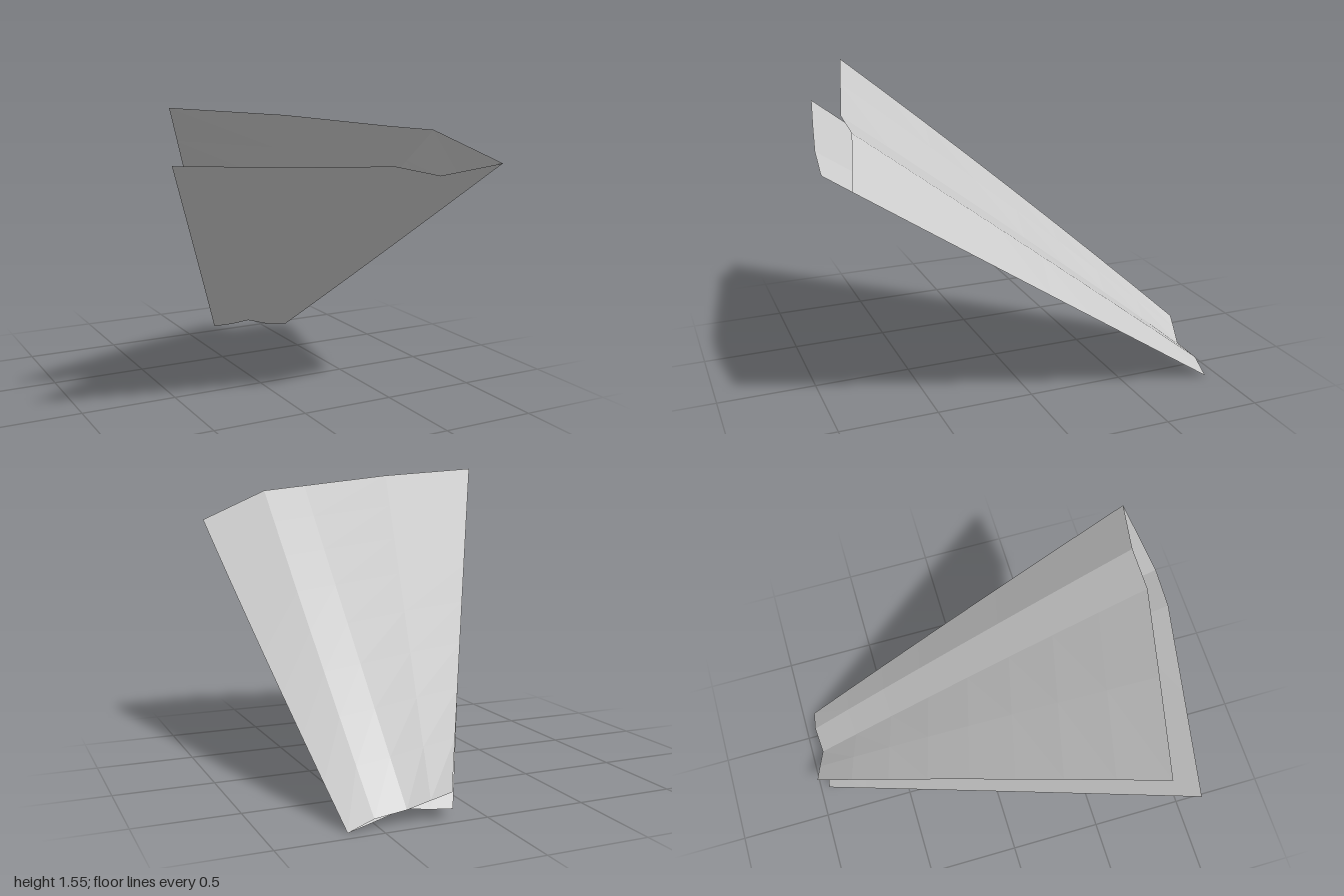
import * as THREE from 'three';

// Each skin is lofted between a wide-end and a narrow-end section,
// both running from the shared leading edge to the trailing edge.
const wideEdge = [0.8, 1.265, 0.95];
const narrowEdge = [0.65, 0, -0.935];

const upperWide = [wideEdge, [0.46, 1.43, 0.86], [0.22, 1.457, 0.85], [-0.25, 1.515, 0.735], [-0.745, 1.555, 0.615]];
const upperNarrow = [narrowEdge, [0.53, 0.05, -0.947], [0.37, 0.065, -0.935], [0.27, 0.105, -0.97], [0.18, 0.14, -1]];

const lowerWide = [wideEdge, [0.41, 1.237, 0.995], [0.18, 1.29, 0.97], [-0.28, 1.303, 0.88], [-0.8, 1.327, 0.775]];
const lowerNarrow = [narrowEdge, [0.52, 0.02, -0.907], [0.37, 0.065, -0.915], [0.26, 0.05, -0.93], [0.15, 0.045, -0.95]];

// Lofts one skin; rise lifts the middle more toward the trailing edge.
function skin(wide, narrow, rise, flip) {
  const rows = 8, n = wide.length;
  const pos = [], index = [];
  for (let r = 0; r <= rows; r++) {
    const t = r / rows, bow = 4 * t * (1 - t);
    for (let i = 0; i < n; i++) {
      const p = new THREE.Vector3(...wide[i]).lerp(new THREE.Vector3(...narrow[i]), t);
      const k = i / (n - 1);
      p.x += 0.008 * bow * (1 - k);
      p.y += rise * bow * k;
      pos.push(p.x, p.y, p.z);
      if (r < rows && i < n - 1) {
        const a = r * n + i, b = a + 1, c = a + n, d = c + 1;
        if (flip) index.push(a, b, c, b, d, c);
        else index.push(a, c, b, b, c, d);
      }
    }
  }
  const g = new THREE.BufferGeometry();
  g.setAttribute('position', new THREE.Float32BufferAttribute(pos, 3));
  g.setIndex(index);
  const flat = g.toNonIndexed();
  flat.computeVertexNormals();
  return flat;
}

export function createModel() {
  const group = new THREE.Group();
  group.name = 'foldedPanel';
  const grey = new THREE.MeshStandardMaterial({ color: 0xcccccc, side: THREE.DoubleSide, flatShading: true });
  grey.name = 'light grey';

  // Upper skin faces up and back, lower skin faces down and forward
  const upper = new THREE.Mesh(skin(upperWide, upperNarrow, 0.02, false), grey);
  upper.name = 'upperSkin';
  const lower = new THREE.Mesh(skin(lowerWide, lowerNarrow, 0.004, true), grey);
  lower.name = 'lowerSkin';
  group.add(upper, lower);
  return group;
}
